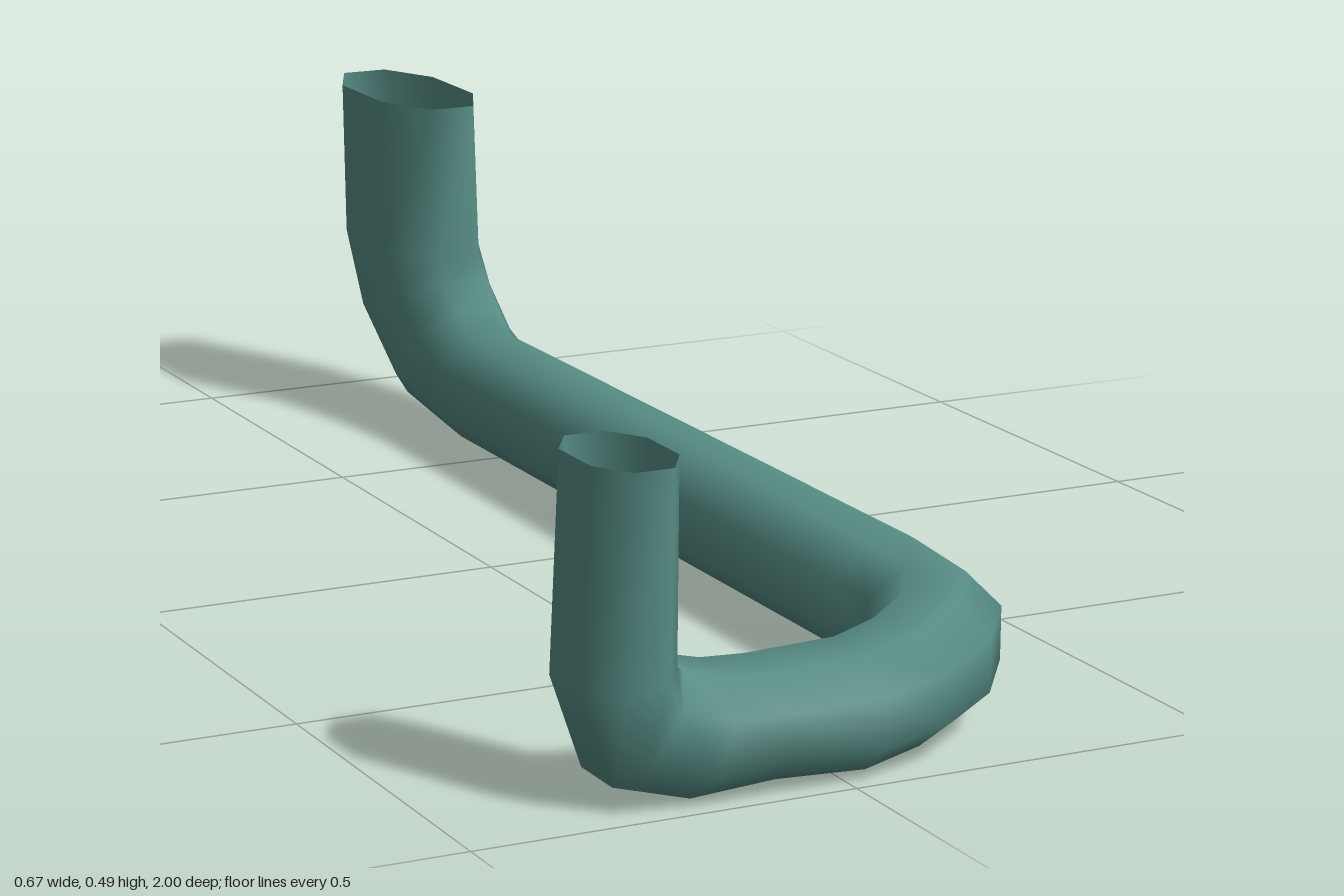
import * as THREE from 'three';

// Eight-sided section with narrow flats and wide chamfers: [side, up]
const K = 0.45;
const SECTION = [[1, -K], [1, K], [K, 1], [-K, 1], [-1, K], [-1, -K], [-K, -1], [K, -1]];

// Each ring: outer (lower) point, inner (upper) point, horizontal half-width vector (x, z)
const bar = (x, y0, y1) => [[x, y0, 0.907], [x, y1, 0.907], [0, 0.09]];

// Ring in the flat corner, from the outside and inside of the bend in plan
function corner(xo, zo, xi, zi, y0, y1) {
  const x = (xo + xi) / 2, z = (zo + zi) / 2;
  return [[x, y0, z], [x, y1, z], [(xo - xi) / 2, (zo - zi) / 2]];
}

// Ring on the long bar and the flared rear end
const rear = (z0, y0, z1, y1) => [[0.26, y0, z0], [0.26, y1, z1], [0.075, 0]];

const RINGS = [
  // short upright end
  [[-0.327, 0.42, 0.91], [-0.213, 0.42, 0.91], [0, 0.09]],
  [[-0.338, 0.15, 0.91], [-0.213, 0.165, 0.91], [0, 0.09]],
  [[-0.295, 0.03, 0.908], [-0.205, 0.159, 0.908], [0, 0.09]],
  [[-0.193, 0.001, 0.907], [-0.14, 0.143, 0.907], [0, 0.09]],
  // cross bar
  bar(-0.08, 0.008, 0.14),
  // flat corner
  corner(0.04, 0.998, 0.04, 0.82, 0.003, 0.145),
  corner(0.14, 0.97, 0.1, 0.8, 0.011, 0.154),
  corner(0.24, 0.9, 0.145, 0.77, 0.014, 0.165),
  corner(0.315, 0.8, 0.18, 0.705, 0.016, 0.17),
  corner(0.335, 0.62, 0.185, 0.62, 0.015, 0.17),
  // long bar and flared upright end
  rear(-0.58, 0.017, -0.55, 0.17),
  rear(-0.77, 0.04, -0.59, 0.2),
  rear(-0.92, 0.14, -0.63, 0.236),
  rear(-0.992, 0.27, -0.66, 0.265),
  rear(-1, 0.49, -0.68, 0.49),
];

// Skin a smooth open tube over the rings
function loftRings(rings) {
  const positions = [], index = [], n = SECTION.length;
  rings.forEach(([a, b, w], i) => {
    const lower = new THREE.Vector3(...a), upper = new THREE.Vector3(...b);
    const centre = lower.clone().add(upper).multiplyScalar(0.5);
    const up = upper.sub(lower).multiplyScalar(0.5);
    const side = new THREE.Vector3(w[0], 0, w[1]);
    SECTION.forEach(([s, t], j) => {
      const p = centre.clone().addScaledVector(side, s).addScaledVector(up, t);
      positions.push(p.x, p.y, p.z);
      if (i === rings.length - 1) return;
      const p0 = i * n + j, p1 = i * n + (j + 1) % n;
      index.push(p0, p0 + n, p1, p1, p0 + n, p1 + n);
    });
  });
  const geometry = new THREE.BufferGeometry();
  geometry.setAttribute('position', new THREE.Float32BufferAttribute(positions, 3));
  geometry.setIndex(index);
  geometry.computeVertexNormals();
  return geometry;
}

export function createModel() {
  const group = new THREE.Group();
  group.name = 'bentPipe';
  const material = new THREE.MeshStandardMaterial({ color: 0x568c84, side: THREE.DoubleSide });
  const pipe = new THREE.Mesh(loftRings(RINGS), material);
  pipe.name = 'pipe';
  group.add(pipe);
  return group;
}
